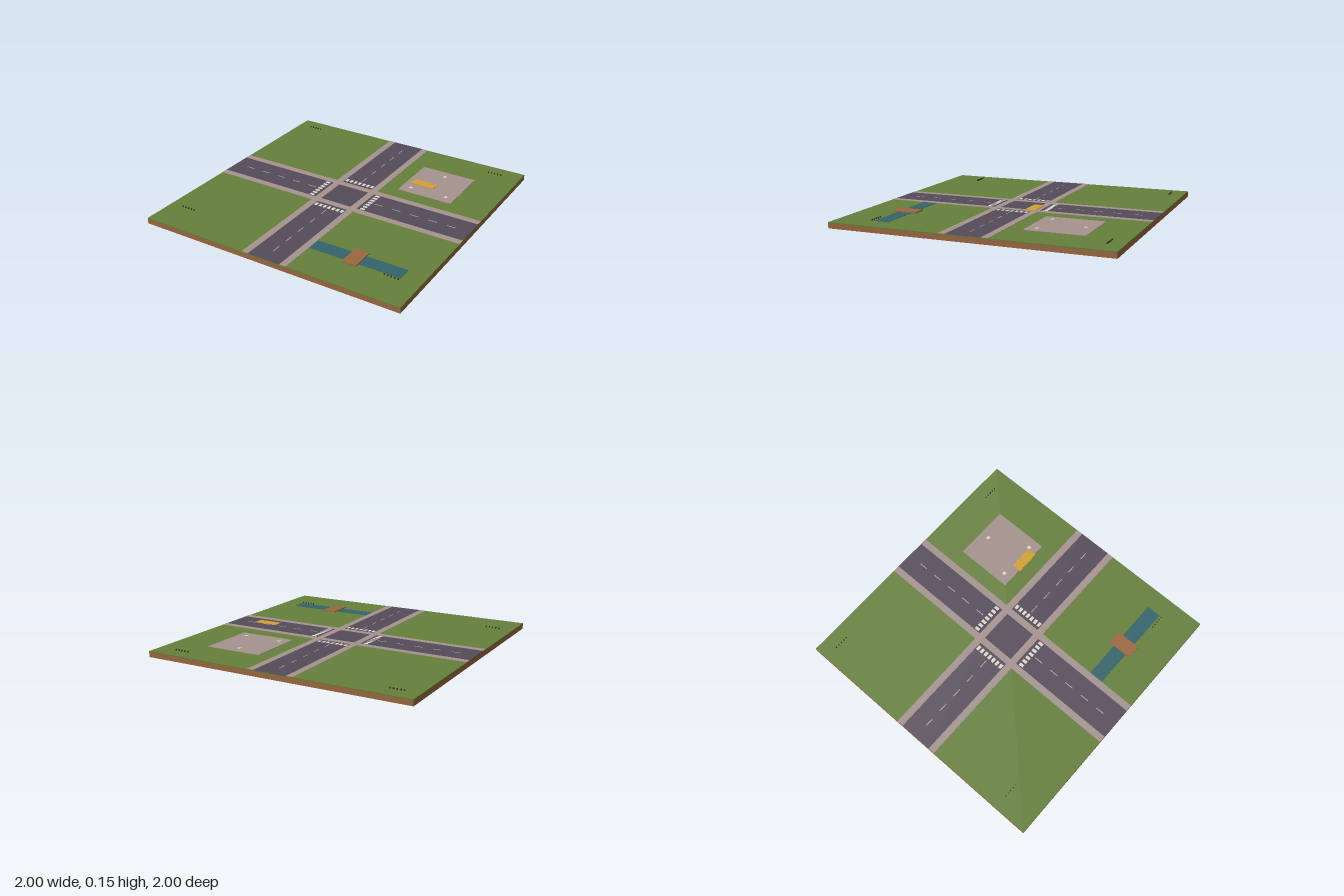
import * as THREE from 'three';

const colors = {
  soil: 0x9c6840, grass: 0x66803a, road: 0x554c5a, paving: 0xa5938f, paint: 0xddd8cc,
  dash: 0xa8a0a4, water: 0x33646b, wood: 0x9c6840, canopy: 0xd4a12f, dark: 0x3a2c22,
};
const materials = {};
for (const key in colors) {
  materials[key] = new THREE.MeshStandardMaterial({ color: colors[key] });
}

export function createModel() {
  const model = new THREE.Group();

  // Box given by its centre in plan, its size and its bottom and top heights
  function slab(name, material, x, z, width, depth, bottom, top, parent = model) {
    const mesh = new THREE.Mesh(new THREE.BoxGeometry(width, top - bottom, depth), materials[material]);
    mesh.name = name;
    mesh.position.set(x, (bottom + top) / 2, z);
    parent.add(mesh);
    return mesh;
  }
  function group(name) {
    const g = new THREE.Group();
    g.name = name;
    model.add(g);
    return g;
  }

  // Ground
  slab('soilBase', 'soil', 0, 0, 2, 2, 0, 0.036);
  slab('grass', 'grass', 0, 0, 2, 2, 0.036, 0.043);

  // Crossing roads: four arms and the middle square
  const roads = group('roads');
  slab('crossing', 'road', 0, 0, 0.25, 0.25, 0.042, 0.044, roads);
  for (const s of [-1, 1]) {
    slab('roadArmX', 'road', s * 0.5875, 0, 0.825, 0.25, 0.042, 0.044, roads);
    slab('roadArmZ', 'road', 0, s * 0.5875, 0.25, 0.825, 0.042, 0.044, roads);
  }

  // Pavements, with the z strips split where they meet the x strips
  const pavements = group('pavements');
  for (const s of [-1, 1]) {
    slab('pavementX', 'paving', 0, s * 0.15, 2, 0.05, 0.042, 0.045, pavements);
    slab('pavementMiddle', 'paving', s * 0.15, 0, 0.05, 0.25, 0.042, 0.045, pavements);
    for (const t of [-1, 1]) {
      slab('pavementZ', 'paving', s * 0.15, t * 0.5875, 0.05, 0.825, 0.042, 0.045, pavements);
    }
  }

  // Centre dashes and zebra stripes on every arm
  const markings = group('roadMarkings');
  for (const s of [-1, 1]) {
    for (let i = 2; i <= 6; i++) {
      slab('dashX', 'dash', s * i / 7, 0, 0.066, 0.007, 0.043, 0.045, markings);
      slab('dashZ', 'dash', 0, s * i / 7, 0.007, 0.066, 0.043, 0.045, markings);
    }
    for (let i = -3; i <= 3; i++) {
      const offset = i * 0.0357;
      slab('stripeX', 'paint', s * 0.214, offset, 0.036, 0.022, 0.043, 0.045, markings);
      slab('stripeZ', 'paint', offset, s * 0.214, 0.022, 0.036, 0.043, 0.045, markings);
    }
  }

  // Paved plaza with three small pads
  slab('plaza', 'paving', 0.5, -0.502, 0.428, 0.428, 0.042, 0.046);
  for (const [x, z] of [[0.5, -0.645], [0.357, -0.358], [0.643, -0.358]]) {
    slab('plazaPad', 'paint', x, z, 0.024, 0.024, 0.045, 0.047);
  }

  // Floating canopy sheet
  slab('canopy', 'canopy', 0.5, -0.286, 0.175, 0.07, 0.147, 0.15);

  // Stream and footbridge
  slab('stream', 'water', 0.514, 0.679, 0.68, 0.107, 0.042, 0.0445);
  slab('footbridge', 'wood', 0.5, 0.677, 0.107, 0.18, 0.045, 0.052);

  // Rows of five tiny stakes near the corners
  const stakes = group('stakes');
  for (const startX of [-0.893, 0.75]) {
    for (const z of [-0.893, 0.75]) {
      for (let i = 0; i < 5; i++) {
        slab('stake', 'dark', startX + i * 0.025, z, 0.007, 0.007, 0.042, 0.053, stakes);
      }
    }
  }

  return model;
}
